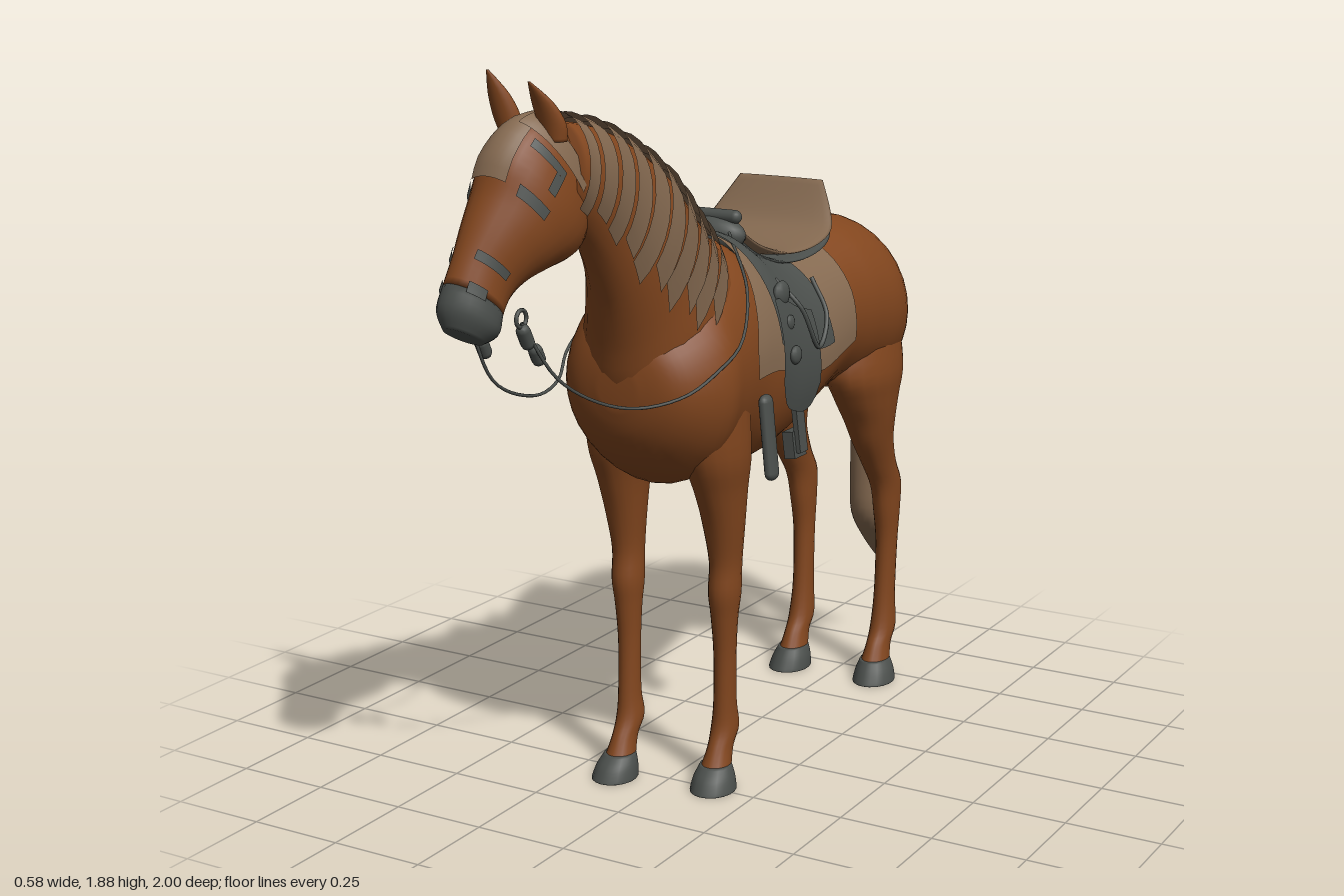
import * as THREE from 'three';

const mat = (name, color) => Object.assign(new THREE.MeshStandardMaterial({ color, side: THREE.DoubleSide }), { name });

// A section is [x1,y1,z1, x2,y2,z2, halfWidth]: two opposite points plus the width along x.
// Returns point(u, angle, offset) on the smooth skin through all the sections.
function skin(sections) {
  const at = (i, k) => sections[Math.max(0, Math.min(sections.length - 1, i))][k];
  return (u, a, off = 0) => {
    const i = Math.max(0, Math.min(sections.length - 2, Math.floor(u))), t = u - i;
    const s = [0, 1, 2, 3, 4, 5, 6].map((k) => {
      const [p, q, r, w] = [at(i - 1, k), at(i, k), at(i + 1, k), at(i + 2, k)];
      return q + 0.5 * t * (r - p + t * (2 * p - 5 * q + 4 * r - w + t * (3 * (q - r) + w - p)));
    });
    const A = new THREE.Vector3(s[0], s[1], s[2]), B = new THREE.Vector3(s[3], s[4], s[5]);
    const H = A.clone().sub(B).multiplyScalar(0.5), h = Math.max(H.length(), 1e-4);
    const P = A.add(B).multiplyScalar(0.5).addScaledVector(H, Math.cos(a) * (h + off) / h);
    P.x += Math.sin(a) * (s[6] + off);
    return P;
  };
}

// Grid of points fn(s, t), s and t in 0..1; wrapped ones are closed tubes with end caps.
function grid(fn, nu, na, wrap = false) {
  const pos = [], idx = [], cols = wrap ? na : na + 1;
  for (let i = 0; i <= nu; i++) for (let j = 0; j < cols; j++) pos.push(...fn(i / nu, j / na).toArray());
  for (let i = 0; i < nu; i++) for (let j = 0; j < na; j++) {
    const a = i * cols + j, b = i * cols + (j + 1) % cols, c = a + cols, d = b + cols;
    idx.push(a, c, b, b, c, d);
  }
  if (wrap) for (const row of [0, nu]) {
    const mid = new THREE.Vector3(), c = pos.length / 3;
    for (let j = 0; j < na; j++) mid.addScaledVector(fn(row / nu, j / na), 1 / na);
    pos.push(...mid.toArray());
    for (let j = 0; j < na; j++) {
      const a = row * cols + j, b = row * cols + (j + 1) % na;
      idx.push(c, ...(row ? [b, a] : [a, b]));
    }
  }
  const g = new THREE.BufferGeometry();
  g.setAttribute('position', new THREE.Float32BufferAttribute(pos, 3));
  g.setIndex(idx);
  g.computeVertexNormals();
  return g;
}

const loft = (sections, u0 = 0, u1 = sections.length - 1, n = 24) => {
  const p = skin(sections);
  return grid((s, t) => p(u0 + (u1 - u0) * s, t * Math.PI * 2), Math.ceil((u1 - u0) * 4), n, true);
};
const patch = (p, u0, u1, a0, a1, off, nu = 12, na = 24) =>
  grid((s, t) => { const a = a0 + (a1 - a0) * t; return p(u0 + (u1 - u0) * s, a, off(a)); }, nu, na);

export function createModel() {
  const coat = mat('chestnut coat', 0x82461e), hair = mat('tan hair and leather', 0x846950), dark = mat('dark grey leather', 0x4b4f4c);
  const root = new THREE.Group();
  root.name = 'saddledHorse';
  const add = (name, geo, material, x = 0, y = 0, z = 0) => {
    const m = new THREE.Mesh(geo, material);
    m.name = name;
    m.position.set(x, y, z);
    root.add(m);
    return m;
  };

  // Torso: z, centre y, half width, half height
  const torso = [
    [-0.82, 1.09, 0.04, 0.07], [-0.80, 1.1, 0.12, 0.15], [-0.74, 1.09, 0.19, 0.215], [-0.62, 1.12, 0.235, 0.245],
    [-0.5, 1.14, 0.23, 0.245], [-0.4, 1.14, 0.213, 0.235], [-0.25, 1.1, 0.213, 0.24], [-0.1, 1.07, 0.22, 0.255],
    [0.02, 1.08, 0.22, 0.285], [0.12, 1.11, 0.215, 0.305], [0.24, 1.1, 0.225, 0.29], [0.33, 1.08, 0.235, 0.26],
    [0.42, 1.08, 0.19, 0.19], [0.47, 1.09, 0.13, 0.125], [0.49, 1.09, 0.05, 0.05],
  ].map(([z, y, w, h]) => [0, y + h, z, 0, y - h, z, w]);
  add('torso', loft(torso, 0, 14, 32), coat);

  // Neck: x, crest z, crest y, throat z, throat y, half width
  const neck = [
    [0, 0.05, 1.37, 0.41, 0.95, 0.19], [0, 0.15, 1.43, 0.482, 1.08, 0.175], [0.01, 0.24, 1.51, 0.51, 1.2, 0.145],
    [0.02, 0.35, 1.61, 0.55, 1.32, 0.115], [0.015, 0.48, 1.69, 0.60, 1.42, 0.09],
    [0, 0.60, 1.74, 0.66, 1.5, 0.08], [-0.02, 0.70, 1.76, 0.72, 1.55, 0.075],
  ].map(([x, z1, y1, z2, y2, w]) => [x, y1, z1, x, y2, z2, w]);
  add('neck', loft(neck), coat);

  // Head, turned a little to its right: brow z, y, jaw z, y, half width
  const turn = (z) => -0.03 - (z - 0.67) * 0.28;
  const head = [
    [0.70, 1.78, 0.62, 1.56, 0.06], [0.79, 1.765, 0.63, 1.48, 0.085], [0.855, 1.70, 0.67, 1.44, 0.1],
    [0.885, 1.62, 0.74, 1.42, 0.095], [0.92, 1.55, 0.80, 1.40, 0.078], [0.95, 1.49, 0.84, 1.37, 0.063],
    [0.978, 1.43, 0.865, 1.33, 0.06], [1.0, 1.37, 0.88, 1.285, 0.062], [0.993, 1.32, 0.915, 1.27, 0.04],
  ].map(([z1, y1, z2, y2, w]) => [turn(z1), y1, z1, turn(z2), y2, z2, w]);
  const headSkin = skin(head), neckSkin = skin(neck), torsoSkin = skin(torso);
  add('head', loft(head, 0, 6.15), coat);
  add('muzzle', loft(head, 6.15, 8), dark);
  for (const s of [-1, 1]) {
    add('eye', patch(headSkin, 2.5, 2.85, s * 0.7, s * 1.35, () => 0.005, 3, 6), dark);
    add('noseband', patch(headSkin, 4.8, 5.15, s * 0.5, s * 1.6, () => 0.004, 3, 8), dark);
    add('browBand', patch(headSkin, 1.25, 1.5, s * 0.6, s * 1.3, () => 0.005, 3, 8), dark);
    add('cheekStrap', patch(headSkin, 1.5, 2.1, s * 1.15, s * 1.3, () => 0.005, 4, 2), dark);
    add('nostril', patch(headSkin, 5.9, 6.3, s * 0.6, s * 1.2, () => 0.004, 3, 4), dark);
  }
  add('forelock', patch(headSkin, 0.2, 2.7, -0.45, 0.45, () => 0.009, 8, 8), hair);

  // Ears: leaf shaped, from base to tip
  for (const [name, bx, tx, ty, tz] of [['rightEar', -0.108, -0.146, 1.876, 0.785], ['leftEar', 0.012, -0.016, 1.858, 0.81]]) {
    add(name, loft([[0, 0.026, 0.022], [0.3, 0.036, 0.024], [0.65, 0.028, 0.018], [1, 0.003, 0.003]].map(([t, w, d]) => {
      const x = bx + (tx - bx) * t, y = 1.72 + (ty - 1.72) * t, z = 0.745 + (tz - 0.745) * t * t;
      return [x, y, z - d, x, y, z + d, w];
    }), 0, 3, 14), coat);
  }

  // Mane: overlapping locks hanging on the left of the neck
  const locks = 10;
  for (let i = 0; i < locks; i++) {
    const u = 0.95 + i * 0.5, end = 1.65 + 0.65 * Math.min(1, i / 5) + (i % 2) * 0.12;
    const start = i % 2 ? -0.95 : -0.5;
    add('maneLock', grid((s, t) => {
      const a = start + (end - start) * t, sweep = 0.4 * Math.max(0, t - 0.25) * Math.sin(Math.PI * i / locks);
      return neckSkin(Math.min(6, u + s * 0.6 - sweep), a - s * 0.1 * t, 0.01 + 0.014 * s);
    }, 3, 14), hair);
  }
  add('cheekLock', patch(headSkin, 0.6, 1.15, 0.2, 1.65, () => 0.014, 4, 12), hair);

  // Tail, from tip to root: outer z, y, inner z, y, half width
  add('tail', loft([
    [-1.0, 0.27, -0.985, 0.265, 0.015], [-0.98, 0.33, -0.92, 0.34, 0.038], [-0.968, 0.43, -0.855, 0.43, 0.057],
    [-0.964, 0.56, -0.85, 0.55, 0.06], [-0.96, 0.72, -0.86, 0.7, 0.062], [-0.972, 0.87, -0.868, 0.86, 0.063],
    [-0.97, 1.02, -0.864, 1.0, 0.063], [-0.93, 1.13, -0.85, 1.08, 0.062], [-0.85, 1.245, -0.81, 1.17, 0.058],
    [-0.73, 1.315, -0.74, 1.24, 0.036],
  ].map(([z1, y1, z2, y2, w]) => [0, y1, z1, 0, y2, z2, w])), hair);

  // Legs, downwards: y, front z, back z, x, half width
  const foreLeg = [
    [1.06, 0.39, 0.12, 0.12, 0.09], [0.9, 0.355, 0.13, 0.137, 0.08], [0.8, 0.31, 0.14, 0.14, 0.063],
    [0.7, 0.27, 0.15, 0.14, 0.052], [0.6, 0.245, 0.15, 0.138, 0.041], [0.52, 0.247, 0.15, 0.136, 0.041],
    [0.45, 0.235, 0.157, 0.134, 0.034], [0.35, 0.222, 0.158, 0.132, 0.029], [0.22, 0.22, 0.152, 0.13, 0.029],
    [0.15, 0.226, 0.138, 0.128, 0.034], [0.1, 0.25, 0.165, 0.128, 0.031], [0.045, 0.28, 0.187, 0.128, 0.04],
  ];
  const hindLeg = [
    [1.08, -0.46, -0.75, 0.115, 0.09], [0.95, -0.43, -0.757, 0.13, 0.093], [0.87, -0.47, -0.73, 0.135, 0.08],
    [0.8, -0.52, -0.712, 0.137, 0.067], [0.73, -0.56, -0.72, 0.137, 0.053], [0.65, -0.62, -0.757, 0.135, 0.042],
    [0.58, -0.67, -0.8, 0.134, 0.038], [0.5, -0.695, -0.797, 0.133, 0.035], [0.4, -0.715, -0.788, 0.132, 0.03],
    [0.25, -0.712, -0.785, 0.13, 0.029], [0.15, -0.695, -0.788, 0.13, 0.034], [0.1, -0.665, -0.762, 0.13, 0.032],
    [0.045, -0.635, -0.745, 0.13, 0.04],
  ];
  const foreHoof = [[0.062, 0.272, 0.188, 0.128, 0.041], [0.035, 0.3, 0.183, 0.13, 0.052], [0.003, 0.318, 0.183, 0.132, 0.058], [0, 0.316, 0.185, 0.132, 0.056]];
  const hindHoof = [[0.062, -0.64, -0.745, 0.13, 0.041], [0.035, -0.622, -0.75, 0.132, 0.052], [0.003, -0.605, -0.752, 0.134, 0.058], [0, -0.607, -0.75, 0.134, 0.056]];
  for (const s of [-1, 1]) {
    const side = s > 0 ? 'left' : 'right';
    const limb = (rows, step) => loft(rows.map(([y, f, b, x, w]) => {
      const dz = s < 0 ? step * Math.min(1, Math.max(0, (0.95 - y) / 0.85)) : 0; // right legs stand further forward
      return [s * x, y, f + dz, s * x, y, b + dz, w];
    }), 0, rows.length - 1, 18);
    add(side + 'ForeLeg', limb(foreLeg, 0.055), coat);
    add(side + 'ForeHoof', limb(foreHoof, 0.055), dark);
    add(side + 'HindLeg', limb(hindLeg, 0.015), coat);
    add(side + 'HindHoof', limb(hindHoof, 0.015), dark);
  }

  // Blanket and saddle skirt follow the back; the blanket lies closer towards the shoulder
  add('blanket', grid((s, t) => {
    const a = -1.62 + 3.24 * t, front = 8.95 + 0.85 * Math.min(1, (a / 1.4) ** 2);
    const back = 5.65 + 0.25 * Math.max(0, Math.abs(a) - 1.2);
    return torsoSkin(back + (front - back) * s, a, 0.008 + (0.036 - 0.022 * s ** 4) * Math.abs(Math.sin(a)));
  }, 16, 36), hair);
  add('skirt', patch(torsoSkin, 6.75, 9.2, -1.42, 1.42, (a) => 0.014 + 0.043 * Math.abs(Math.sin(a)), 12, 32), dark);

  // Seat with raised cantle, dark underside and a dark patch behind the pommel
  const seat = [
    [-0.335, 1.505, -0.345, 1.5, 0.125], [-0.29, 1.43, -0.307, 1.415, 0.172], [-0.25, 1.388, -0.262, 1.37, 0.19],
    [-0.18, 1.362, -0.185, 1.34, 0.178], [-0.1, 1.358, -0.1, 1.335, 0.15], [-0.03, 1.385, -0.02, 1.36, 0.115], [0.03, 1.43, 0.045, 1.41, 0.09],
  ];
  const seatRows = (dy, k) => seat.map(([z1, y1, z2, y2, w]) => [0, y1 + dy, z1, 0, y2 + dy, z2, w * k]);
  const seatSkin = skin(seatRows(0, 1));
  add('seat', loft(seatRows(0, 1)), hair);
  add('seatUnderside', loft(seatRows(-0.024, 0.97), 1, 6), dark);
  add('seatPatch', grid((s, t) => seatSkin(4.2 + 1.7 * s, (2 * t - 1) * (0.08 + 0.65 * s), 0.004), 6, 8), dark);
  add('pommel', new THREE.SphereGeometry(1, 24, 16), dark, 0, 1.405, 0.035).scale.set(0.1, 0.05, 0.045);
  add('pommelHorn', new THREE.CapsuleGeometry(0.018, 0.14, 6, 14), dark, 0, 1.452, 0.033).rotation.z = Math.PI / 2;

  // Hanging tack on each flank
  const tube = (pts, r) => new THREE.TubeGeometry(new THREE.CatmullRomCurve3(pts.map((p) => new THREE.Vector3(...p))), 40, r, 8);
  for (const s of [-1, 1]) {
    add('flap', grid((u, t) => {
      const a = 1.1 + t * (0.8 - 0.22 * (2 * u - 1) ** 4);
      return torsoSkin(7.45 + 1.75 * u, s * a, 0.06);
    }, 12, 10), dark);
    const bag = add('frontStrap', new THREE.CapsuleGeometry(0.02, 0.18, 6, 12), dark, s * 0.243, 0.93, 0.165);
    bag.scale.set(0.8, 1, 1.3);
    bag.rotation.z = s * 0.1;
    add('stirrupStrap', new THREE.BoxGeometry(0.014, 0.17, 0.04), dark, s * 0.255, 0.95, 0.03).rotation.z = s * 0.12;
    add('stirrupBuckle', new THREE.BoxGeometry(0.03, 0.07, 0.062), dark, s * 0.243, 0.885, 0.03).rotation.z = s * 0.12;
    for (const [y, r, x] of [[1.28, 0.034, 0.235], [1.21, 0.02, 0.26], [1.13, 0.024, 0.278]]) {
      add('concho', new THREE.SphereGeometry(r, 14, 10), dark, s * x, y, 0.09).scale.x = 0.5;
    }
    add('sideStrap', tube([[s * 0.2, 1.31, 0.06], [s * 0.265, 1.24, 0.04], [s * 0.285, 1.13, -0.02], [s * 0.27, 1.2, -0.09], [s * 0.22, 1.29, -0.1]], 0.006), dark);
  }

  // Bit hangers and reins
  for (const x of [-0.165, -0.015]) {
    add('bitRing', new THREE.TorusGeometry(0.02, 0.005, 8, 16), dark, x, 1.33, 0.86).rotation.y = Math.PI / 2;
    add('bitHanger', new THREE.CapsuleGeometry(0.017, 0.035, 4, 10), dark, x, 1.285, 0.845).rotation.x = 0.5;
    add('bitTassel', new THREE.CapsuleGeometry(0.017, 0.025, 4, 10), dark, x, 1.235, 0.8).rotation.x = 0.5;
  }
  const reinBack = (s) => [[s * 0.18, 1.09, 0.47], [s * 0.22, 1.14, 0.37], [s * 0.229, 1.19, 0.28], [s * 0.2, 1.3, 0.2], [s * 0.08, 1.42, 0.08]];
  add('leftRein', tube([[-0.015, 1.32, 0.86], [0.03, 1.17, 0.77], [0.1, 1.08, 0.6], ...reinBack(1)], 0.004), dark);
  add('rightRein', tube([[-0.165, 1.32, 0.86], [-0.16, 1.15, 0.77], [-0.16, 1.08, 0.6], ...reinBack(-1)], 0.004), dark);
  return root;
}
